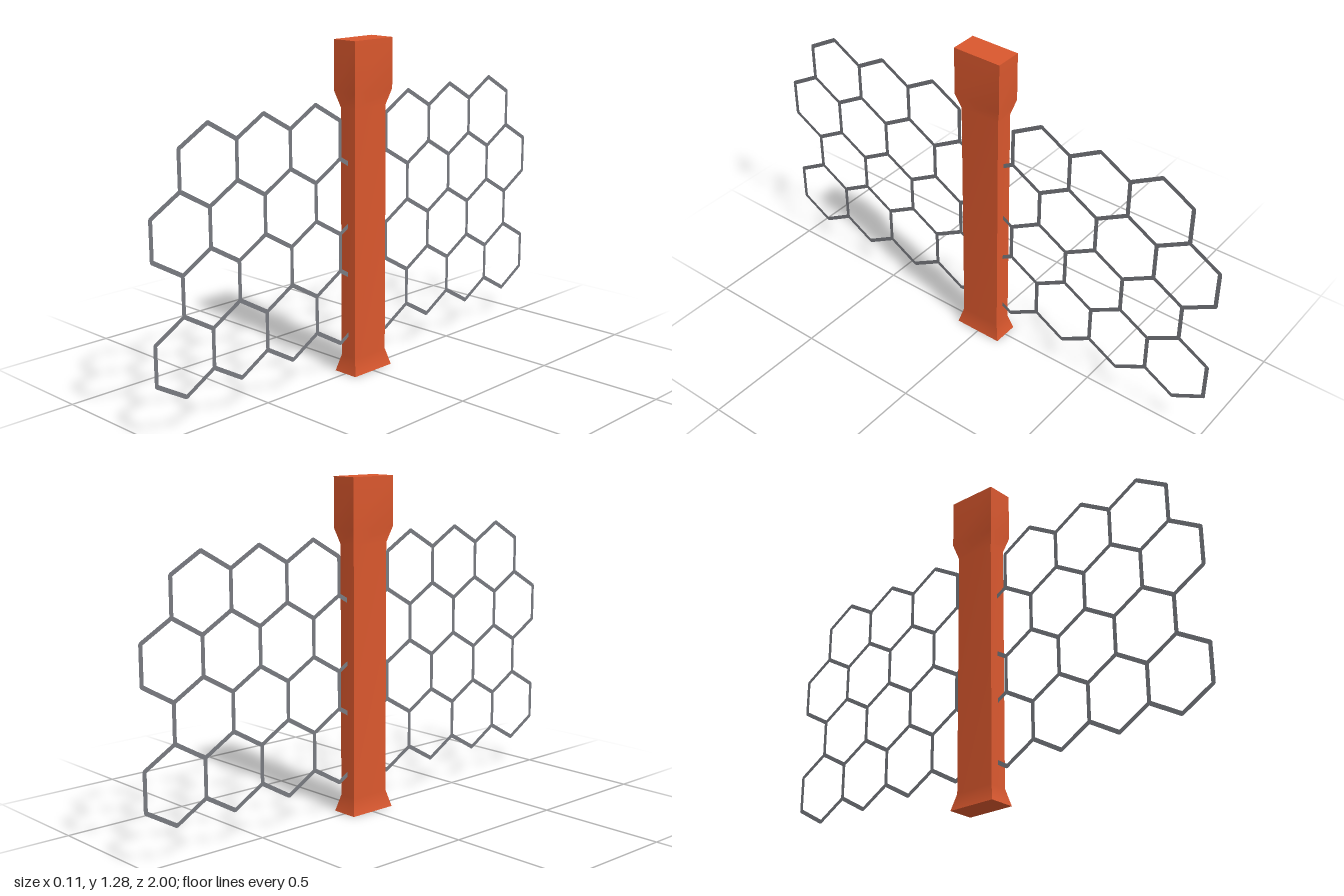
import * as THREE from 'three';

const postPaint = new THREE.MeshStandardMaterial({ color: 0xd9572d });
postPaint.name = 'orange post paint';
const wireGrey = new THREE.MeshStandardMaterial({ color: 0x787a80, side: THREE.DoubleSide });
wireGrey.name = 'grey wire';

// Post cross-sections from bottom to top: [y, half width x, half depth z]
const SECTIONS = [
  [0, 0.053, 0.1],
  [0.065, 0.036, 0.083],
  [1.03, 0.036, 0.083],
  [1.09, 0.053, 0.1],
  [1.28, 0.053, 0.1],
];
const CORNERS = [[1, 1], [1, -1], [-1, -1], [-1, 1]];

// One side of the post, smooth along its height and sharp at the corners
function postSide(a, b) {
  const pos = [], index = [];
  SECTIONS.forEach(([y, hx, hz], i) => {
    pos.push(a[0] * hx, y, a[1] * hz, b[0] * hx, y, b[1] * hz);
    if (i === 0) return;
    const k = 2 * (i - 1);
    index.push(k, k + 1, k + 3, k, k + 3, k + 2);
  });
  const g = new THREE.BufferGeometry();
  g.setAttribute('position', new THREE.Float32BufferAttribute(pos, 3));
  g.setIndex(index);
  g.computeVertexNormals();
  return g;
}

// Flat hexagonal ring with blunt outer tips
function hexRing(radius, half) {
  const shape = new THREE.Shape();
  const hole = new THREE.Path();
  const outer = [], inner = [];
  for (let i = 0; i < 6; i++) {
    const t = Math.PI / 6 + (i * Math.PI) / 3;
    const p = new THREE.Vector2(Math.cos(t), Math.sin(t));
    for (const s of [-1, 1]) {
      const n = t + (s * Math.PI) / 6;
      outer.push(new THREE.Vector2(
        p.x * radius + Math.cos(n) * half,
        p.y * radius + Math.sin(n) * half
      ));
    }
    inner.push(p.multiplyScalar(radius - half / Math.cos(Math.PI / 6)));
  }
  shape.setFromPoints(outer);
  hole.setFromPoints(inner);
  shape.holes.push(hole);
  return new THREE.ShapeGeometry(shape).rotateY(Math.PI / 2);
}

export function createModel() {
  const model = new THREE.Group();
  model.name = 'meshFencePost';

  // Post with flared foot and head
  const post = new THREE.Group();
  post.name = 'post';
  CORNERS.forEach((c, i) => {
    const side = new THREE.Mesh(postSide(c, CORNERS[(i + 1) % 4]), postPaint);
    side.name = 'postSide';
    post.add(side);
  });
  for (const [name, [y, hx, hz], dir] of [
    ['postBottom', SECTIONS[0], 1],
    ['postTop', SECTIONS[4], -1],
  ]) {
    const cap = new THREE.Mesh(new THREE.PlaneGeometry(2 * hx, 2 * hz), postPaint);
    cap.name = name;
    cap.rotation.x = (dir * Math.PI) / 2;
    cap.position.y = y;
    post.add(cap);
  }
  model.add(post);

  // Honeycomb net in the plane x = 0, staggered rows
  const net = new THREE.Group();
  net.name = 'honeycombNet';
  const pitch = 0.248, half = 0.008, radius = pitch / Math.sqrt(3);
  const ring = hexRing(radius, half);
  for (let row = 0; row < 4; row++) {
    const count = row % 2 ? 7 : 8;
    for (let i = 0; i < count; i++) {
      // The top row has a gap at the post
      if (row === 3 && i === 3) continue;
      const cell = new THREE.Mesh(ring, wireGrey);
      cell.name = 'netCell';
      cell.position.set(0, 0.596 + (row - 1.5) * 1.5 * radius, (i - (count - 1) / 2) * pitch);
      net.add(cell);
    }
  }
  model.add(net);

  return model;
}
